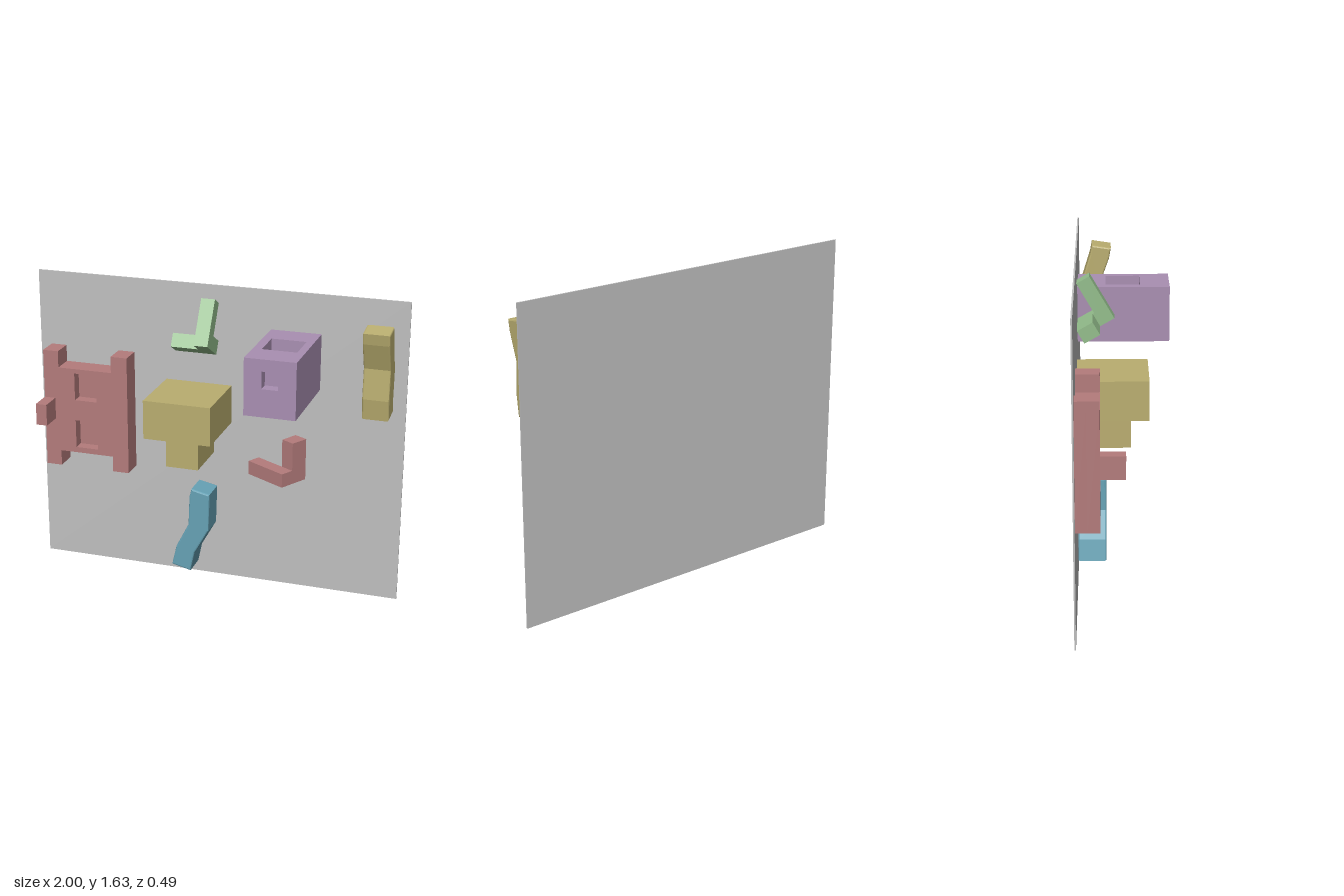
import * as THREE from 'three';

const mat = (name, color) => {
  const m = new THREE.MeshStandardMaterial({ color });
  m.name = name;
  return m;
};

export function createModel() {
  const grey = mat('panel grey', 0xc0c0c0);
  const red = mat('dusty red', 0xb47c7c);
  const yellow = mat('ochre yellow', 0xbaae70);
  const purple = mat('soft purple', 0xa98fb2);
  const green = mat('leaf green', 0x94be8c);
  const blue = mat('teal blue', 0x66a2b5);
  const model = new THREE.Group();
  const wall = -0.238; // front face of the panel

  const add = (name, geometry, material, parent = model) => {
    const mesh = new THREE.Mesh(geometry, material);
    mesh.name = name;
    parent.add(mesh);
    return mesh;
  };
  const group = (name) => {
    const g = new THREE.Group();
    g.name = name;
    model.add(g);
    return g;
  };
  // box from its extents
  const box = (name, m, x0, x1, y0, y1, z0, z1, parent) =>
    add(name, new THREE.BoxGeometry(x1 - x0, y1 - y0, z1 - z0)
      .translate((x0 + x1) / 2, (y0 + y1) / 2, (z0 + z1) / 2), m, parent);
  const poly = (pts) => pts.map(([x, y]) => new THREE.Vector2(x, y));
  const rect = (x0, x1, y0, y1) => poly([[x0, y0], [x1, y0], [x1, y1], [x0, y1]]);
  // plate with rectangular holes, extruded along z
  const plate = (outline, holes, depth) => {
    const s = new THREE.Shape(outline);
    holes.forEach((h) => s.holes.push(new THREE.Path(rect(...h))));
    return new THREE.ExtrudeGeometry(s, { depth, bevelEnabled: false });
  };
  // bent bar with softened end edges
  const bent = (pts, depth) => {
    const b = 0.008;
    return new THREE.ExtrudeGeometry(new THREE.Shape(poly(pts)), {
      depth: depth - 2 * b, bevelSize: b, bevelThickness: b, bevelOffset: -b, bevelSegments: 2,
    }).translate(0, 0, b);
  };

  // back panel
  box('panel', grey, -1, 1, 0, 1.635, -0.246, wall);

  // notched frame with two pockets and a side peg
  const frame = group('notchedFrame');
  const outline = poly([
    [-0.94, 0.58], [-0.855, 0.58], [-0.855, 0.665], [-0.555, 0.665], [-0.555, 0.58], [-0.465, 0.58],
    [-0.465, 1.23], [-0.555, 1.23], [-0.555, 1.14], [-0.855, 1.14], [-0.855, 1.23], [-0.94, 1.23],
  ]);
  const pockets = [[-0.765, -0.64, 0.965, 1.115], [-0.765, -0.64, 0.695, 0.85]];
  add('frameBase', plate(outline, [], 0.058), red, frame).position.z = wall;
  add('frameFace', plate(outline, pockets, 0.06), red, frame).position.z = wall + 0.058;
  box('framePeg', red, -0.94, -0.88, 0.848, 0.965, -0.12, 0, frame);

  // stepped block
  const step = group('steppedBlock');
  box('upperBlock', yellow, -0.285, 0.075, 0.893, 1.1, wall, 0.125, step);
  box('lowerBlock', yellow, -0.195, -0.02, 0.715, 0.893, wall, 0.035, step);

  // long block with a front recess and a top pocket
  const hollow = group('pocketBlock');
  box('blockBody', purple, 0.285, 0.55, 1.13, 1.365, wall, 0.185, hollow);
  add('blockFront', plate(rect(0.285, 0.55, 1.13, 1.427), [[0.375, 0.46, 1.275, 1.365]], 0.06), purple, hollow)
    .position.z = 0.185;
  const top = plate(rect(0.285, 0.55, -0.185, -wall), [[0.33, 0.51, -0.09, 0.09]], 0.062);
  add('blockTop', top.rotateX(-Math.PI / 2), purple, hollow).position.y = 1.365;

  // three-armed corner pieces, turned against the panel
  const w = 0.074, d = 0.172;
  const corner = group('redCorner');
  box('cornerBar', red, -0.25, 0, 0, w, -w, 0, corner);
  box('cornerFoot', red, -0.077, 0, 0, w, -d, -w, corner);
  box('cornerPost', red, -0.077, 0, w, 0.225, -d, -w, corner);
  corner.position.set(0.411, 0.645, -0.04);
  corner.rotation.y = -Math.PI / 6;

  const lean = group('greenCorner');
  box('leaningBar', green, -w, 0, 0, 0.25, -w, 0, lean);
  box('leaningFoot', green, -w, 0, 0, w, -d, -w, lean);
  box('leaningArm', green, -0.222, -w, 0, w, -d, -0.082, lean);
  lean.position.set(0.004, 1.362, -0.047);
  lean.rotation.x = -Math.PI / 6;

  // bent bars
  add('lowerBentBar', bent([
    [-0.212, 0.09], [-0.107, 0.065], [-0.085, 0.17], [-0.005, 0.315], [0.001, 0.525],
    [-0.1, 0.547], [-0.112, 0.5], [-0.118, 0.337], [-0.187, 0.2],
  ], 0.147), blue).position.z = wall;
  const side = bent([
    [0.06, 1.507], [0.07, 1.45], [0.12, 1.31], [0.11, 1.15], [0.125, 1.04],
    [0.234, 1.055], [0.225, 1.13], [0.234, 1.28], [0.175, 1.47], [0.165, 1.523],
  ], 0.138);
  add('sideBentBar', side.rotateY(Math.PI / 2), yellow).position.x = 0.797;

  return model;
}
